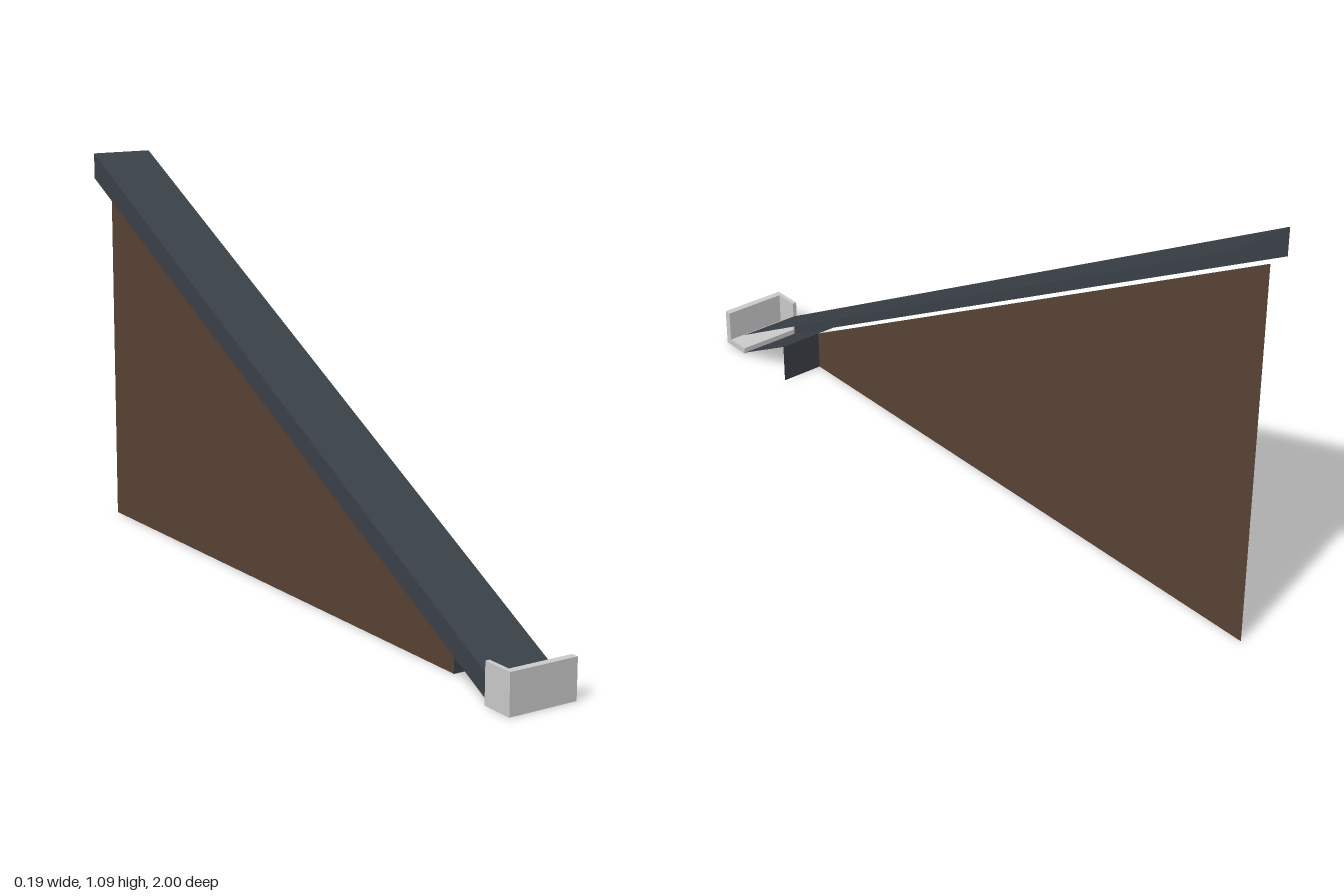
import * as THREE from 'three';

const slate = new THREE.MeshStandardMaterial({ color: 0x3a4148, side: THREE.DoubleSide });
slate.name = 'slate';
const brown = new THREE.MeshStandardMaterial({ color: 0x5a4335, side: THREE.DoubleSide });
brown.name = 'brown';
const paleGrey = new THREE.MeshStandardMaterial({ color: 0xcccccc });
paleGrey.name = 'paleGrey';

// Ramp extents and slopes
const LEFT = 0.095, RIGHT = -0.085, PANEL_X = -0.03;
const FRONT = 0.908, BACK = -1, PANEL_FRONT = 0.705;
const along = (a, b) => (z) => a + (b - a) * (FRONT - z) / (FRONT - BACK);
const topY = along(0.064, 1.09);
const lowY = along(0.004, 1.018);

// Flat sheet from four corners, counter-clockwise seen from its front
function sheet(name, material, corners) {
  const geometry = new THREE.BufferGeometry();
  geometry.setAttribute('position', new THREE.Float32BufferAttribute(corners.flat(), 3));
  geometry.setIndex([0, 1, 2, 0, 2, 3]);
  geometry.computeVertexNormals();
  const mesh = new THREE.Mesh(geometry, material);
  mesh.name = name;
  return mesh;
}

// Box from its minimum and maximum corners
function block(name, material, min, max) {
  const size = max.map((v, i) => v - min[i]);
  const mesh = new THREE.Mesh(new THREE.BoxGeometry(...size), material);
  mesh.position.set(...max.map((v, i) => (v + min[i]) / 2));
  mesh.name = name;
  return mesh;
}

export function createModel() {
  const model = new THREE.Group();
  model.name = 'ramp';

  // Sloping deck with a skirt along its right edge
  model.add(sheet('rampDeck', slate, [
    [RIGHT, topY(FRONT), FRONT], [LEFT, topY(FRONT), FRONT],
    [LEFT, topY(BACK), BACK], [RIGHT, topY(BACK), BACK],
  ]));
  model.add(sheet('rampSkirt', slate, [
    [RIGHT, lowY(BACK), BACK], [RIGHT, lowY(FRONT), FRONT],
    [RIGHT, topY(FRONT), FRONT], [RIGHT, topY(BACK), BACK],
  ]));

  // Underside of the low end and the riser below it
  model.add(sheet('lowerUnderside', slate, [
    [RIGHT, lowY(PANEL_FRONT), PANEL_FRONT], [LEFT, lowY(PANEL_FRONT), PANEL_FRONT],
    [LEFT, lowY(FRONT), FRONT], [RIGHT, lowY(FRONT), FRONT],
  ]));
  model.add(sheet('frontRiser', slate, [
    [PANEL_X, 0, PANEL_FRONT], [LEFT, 0, PANEL_FRONT],
    [LEFT, lowY(PANEL_FRONT), PANEL_FRONT], [PANEL_X, lowY(PANEL_FRONT), PANEL_FRONT],
  ]));

  // Supporting side panel, set in beneath the deck
  model.add(sheet('sidePanel', brown, [
    [PANEL_X, 0, PANEL_FRONT], [PANEL_X, 0, BACK],
    [PANEL_X, lowY(BACK), BACK], [PANEL_X, lowY(PANEL_FRONT), PANEL_FRONT],
  ]));

  // Kerb tray at the foot: floor, front wall and right wall
  const tray = new THREE.Group();
  tray.name = 'footTray';
  tray.add(block('trayFloor', paleGrey, [-0.097, 0, 0.91], [0.097, 0.018, 1]));
  tray.add(block('trayFrontWall', paleGrey, [-0.097, 0.018, 0.98], [0.097, 0.107, 1]));
  tray.add(block('trayRightWall', paleGrey, [-0.097, 0.018, 0.91], [-0.085, 0.107, 0.98]));
  model.add(tray);

  return model;
}
